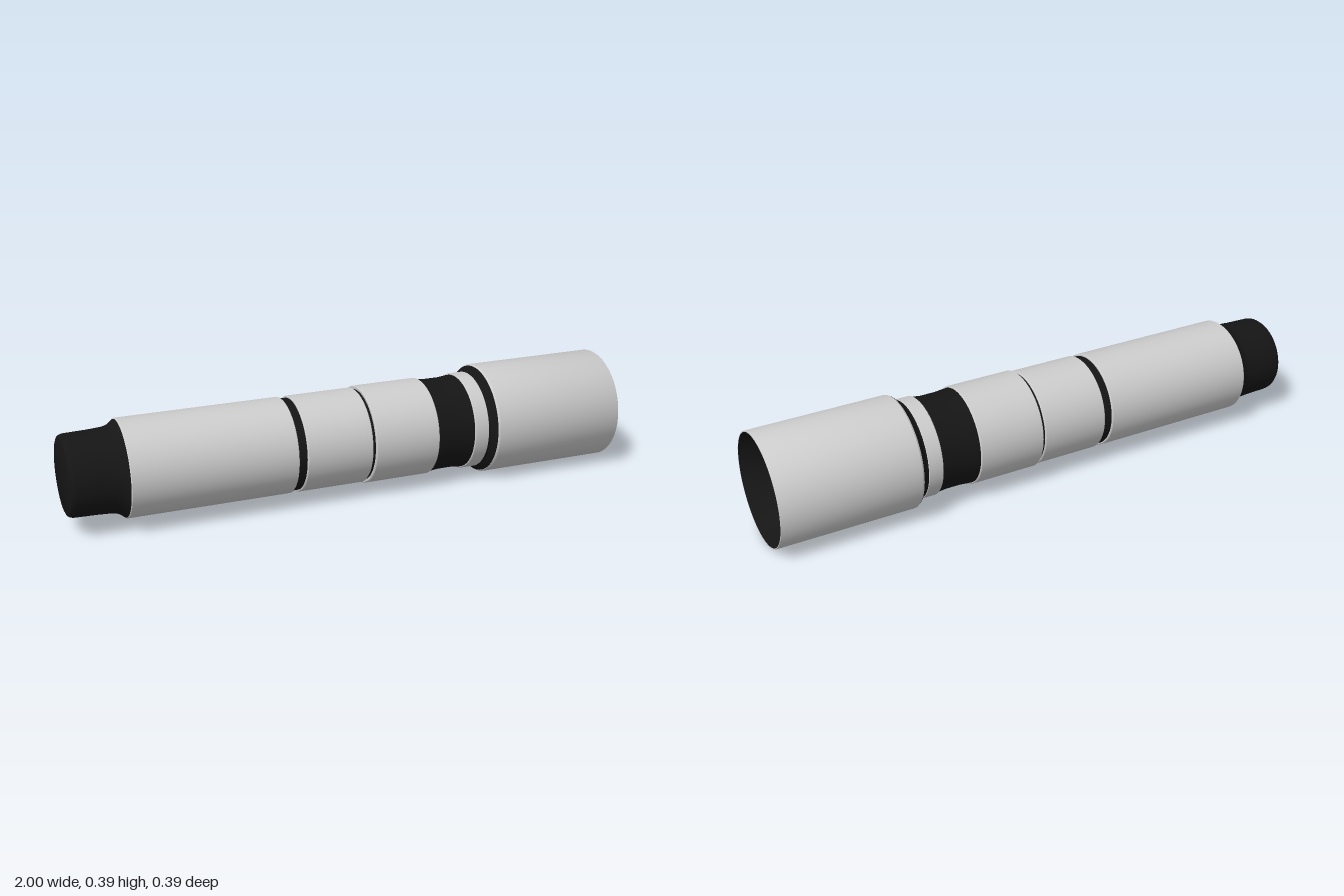
import * as THREE from 'three';
import { toCreasedNormals } from 'three/addons/utils/BufferGeometryUtils.js';

const R = 0.197; // head radius, also the height of the axis

export function createModel() {
  const model = new THREE.Group();
  const metal = new THREE.MeshStandardMaterial({ color: 0xcccccc });
  const dark = new THREE.MeshStandardMaterial({ color: 0x151515 });

  // Turned part: profile of [x, radius] pairs spun around the long axis
  function turned(name, material, profile) {
    const points = profile.map(([x, r]) => new THREE.Vector2(r, x));
    const geometry = toCreasedNormals(new THREE.LatheGeometry(points, 72), 0.5);
    geometry.rotateZ(-Math.PI / 2);
    const mesh = new THREE.Mesh(geometry, material);
    mesh.name = name;
    mesh.position.y = R;
    model.add(mesh);
  }

  // Sleeve with closed annular ends and small chamfers
  function sleeve(name, x0, x1, r, c = 0.003) {
    turned(name, metal, [[x0, 0.13], [x0, r - c], [x0 + c, r], [x1 - c, r], [x1, r - c], [x1, 0.13]]);
  }

  // Tail cap with rounded end and flare into the barrel
  turned('tailCap', dark, [
    [-1, 0], [-1, 0.125], [-0.997, 0.132], [-0.99, 0.137], [-0.98, 0.139],
    [-0.9, 0.141], [-0.85, 0.144], [-0.832, 0.149], [-0.82, 0.157], [-0.81, 0.165], [-0.808, 0.13],
  ]);

  // Barrel sleeves
  sleeve('rearBarrel', -0.81, -0.235, 0.168);
  sleeve('middleBarrel', -0.205, 0.035, 0.168);
  sleeve('frontBarrel', 0.045, 0.285, 0.173);
  sleeve('neckRing', 0.425, 0.48, 0.173);

  // Dark core showing in the grooves
  turned('rearGroove', dark, [[-0.237, 0.13], [-0.237, 0.161], [-0.203, 0.161], [-0.203, 0.13]]);
  turned('middleGroove', dark, [[0.033, 0.13], [0.033, 0.162], [0.047, 0.162], [0.047, 0.13]]);
  turned('gripBand', dark, [
    [0.283, 0.13], [0.283, 0.168], [0.3, 0.167], [0.33, 0.164], [0.385, 0.164], [0.41, 0.167], [0.427, 0.168], [0.427, 0.13],
  ]);
  turned('headCollar', dark, [[0.478, 0.13], [0.478, 0.171], [0.486, 0.173], [0.503, 0.192], [0.507, 0.192], [0.507, 0.13]]);

  // Head tube
  turned('head', metal, [[0.505, 0.13], [0.505, 0.193], [0.511, R], [0.998, R], [1, 0.196], [1, 0.193]]);

  // Hollow dark bowl with stepped floor
  turned('bowl', dark, [
    [1, 0.194], [0.985, 0.189], [0.93, 0.165], [0.87, 0.137], [0.865, 0.133],
    [0.82, 0.125], [0.78, 0.105], [0.76, 0.085], [0.76, 0],
  ]);
  turned('lampSeat', dark, [[0.755, 0.083], [0.77, 0.083], [0.77, 0.037], [0.778, 0.037], [0.778, 0.031], [0.768, 0.031], [0.768, 0]]);
  return model;
}
